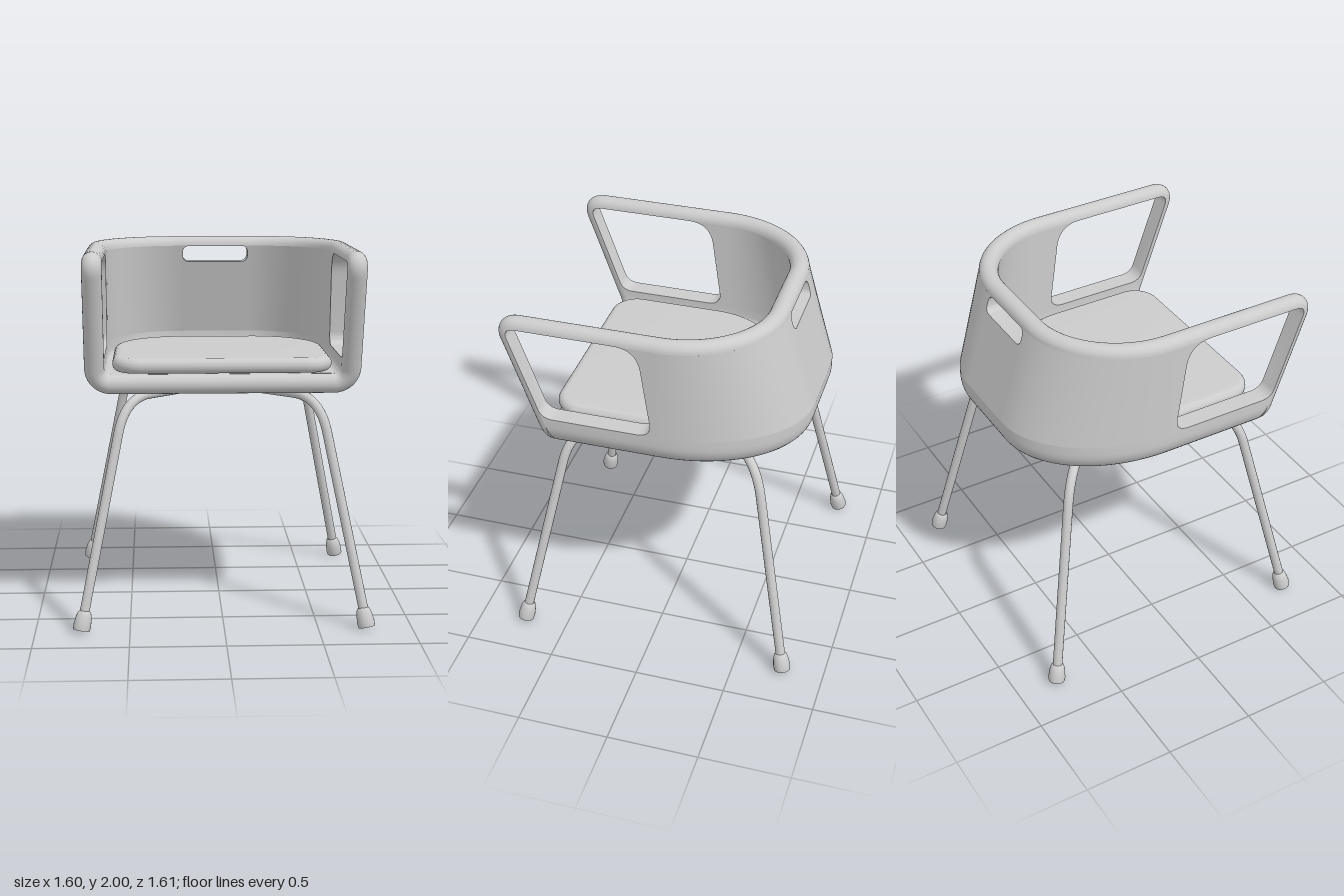
import * as THREE from 'three';
import { toCreasedNormals } from 'three/addons/utils/BufferGeometryUtils.js';

const V = (x, y, z) => new THREE.Vector3(x, y, z);
const W = 0.73, T = 0.105, FLAT = 0.2, START = -0.05; // half width, wall, flat half of back, start of the curve
const KNEE = 1.43, RIM = 1.95, MID = 1.2925, R = T / 2;
const backZ = y => -0.765 + 0.3 * Math.max(0, y - KNEE); // leaning back
const frontZ = y => 0.525 + 0.36 * (y - MID);            // raked front edge

// Point on the rounded back corner: a runs 0 (side) to PI/2 (back), d is the inset
const corner = (a, d, y) => V(FLAT + (W - FLAT - d) * Math.cos(a), y,
  START + (backZ(y) + d - START) * Math.sin(a));

// Skin between rings of points; every section is closed
function loft(rings, closedPath = false) {
  const n = rings[0].length, m = rings.length, idx = [];
  for (let i = 0; i < (closedPath ? m : m - 1); i++) {
    for (let j = 0; j < n; j++) {
      const k = (i + 1) % m, l = (j + 1) % n;
      const a = i * n + j, b = i * n + l, c = k * n + l, d = k * n + j;
      idx.push(a, d, b, b, d, c);
    }
  }
  const g = new THREE.BufferGeometry().setFromPoints(rings.flat());
  g.setIndex(idx);
  return toCreasedNormals(g, 0.6);
}

// Outline with a straight front and elliptical back corners, drawn in (x, -z)
function seatShape(w, back, front, start, flat, r) {
  const s = new THREE.Shape();
  s.moveTo(-w + r, -front);
  s.lineTo(w - r, -front);
  if (r) s.absarc(w - r, -front + r, r, -Math.PI / 2, 0);
  s.lineTo(w, -start);
  s.absellipse(flat, -start, w - flat, start - back, 0, Math.PI / 2);
  s.absellipse(-flat, -start, w - flat, start - back, Math.PI / 2, Math.PI);
  s.lineTo(-w, -front + r);
  if (r) s.absarc(-w + r, -front + r, r, Math.PI, Math.PI * 1.5);
  return s;
}

export function createModel() {
  const model = new THREE.Group();
  const material = new THREE.MeshStandardMaterial({ color: 0xcccccc, side: THREE.DoubleSide });
  const add = (name, geometry, parent = model) => {
    const mesh = new THREE.Mesh(geometry, material);
    mesh.name = name;
    parent.add(mesh);
    return mesh;
  };
  const steps = 24;

  // Lower shell: J-shaped section swept round the sides and back
  const section = [];
  for (let i = 0; i <= 10; i++) {
    const a = i / 10 * Math.PI / 2;
    section.push([0.14 - 0.14 * Math.sin(a), 1.38 - 0.14 * Math.cos(a)]);
  }
  section.push([0, KNEE], [T, KNEE]);
  for (let i = 0; i <= 5; i++) {
    const a = i / 5 * Math.PI / 2;
    section.push([0.14 - 0.035 * Math.cos(a), 1.38 - 0.035 * Math.sin(a)]);
  }
  const half = [section.map(([d, y]) => V(W - d, y, frontZ(y)))];
  for (let i = 0; i <= steps; i++) {
    half.push(section.map(([d, y]) => corner(i / steps * Math.PI / 2, d, y)));
  }
  const mirrored = half.map(ring => ring.map(p => V(-p.x, p.y, p.z))).reverse();
  add('lowerShell', loft([...half, ...mirrored]));

  // Floor of the shell
  const floor = new THREE.ExtrudeGeometry(
    seatShape(W - 0.14, backZ(1.3) + 0.14, 0.53, START, FLAT, 0),
    { depth: T, bevelEnabled: false, curveSegments: 24 });
  floor.rotateX(-Math.PI / 2).translate(0, 1.24, 0);
  add('seatFloor', toCreasedNormals(floor, 0.6));

  // Curved walls at the rear corners
  const wall = [[0, KNEE], [0, RIM], [T, RIM], [T, KNEE]];
  for (const side of [1, -1]) {
    const rings = [];
    for (let i = 0; i <= steps; i++) {
      rings.push(wall.map(([d, y]) => {
        const p = corner(i / steps * Math.PI / 2, d, y);
        p.x *= side;
        return p;
      }));
    }
    if (side < 0) rings.reverse();
    add(side > 0 ? 'leftCornerWall' : 'rightCornerWall', loft(rings));
  }

  // Flat side walls behind the arm openings, and the fillet at the foot of the arm post
  const rear = new THREE.Shape();
  rear.moveTo(START, KNEE);
  rear.lineTo(0.06, KNEE);
  rear.quadraticCurveTo(-0.022, KNEE, -0.016, 1.5);
  rear.lineTo(0.03, 1.83);
  rear.quadraticCurveTo(0.05, RIM, 0.17, RIM);
  rear.lineTo(START, RIM);
  const fz = frontZ(KNEE);
  const fillet = new THREE.Shape();
  fillet.moveTo(fz - 0.06, KNEE);
  fillet.lineTo(fz, KNEE);
  fillet.lineTo(frontZ(1.48), 1.48);
  fillet.quadraticCurveTo(fz, KNEE, fz - 0.06, KNEE);
  for (const side of [1, -1]) {
    const g = new THREE.ExtrudeGeometry([rear, fillet], { depth: T, bevelEnabled: false });
    g.rotateY(-Math.PI / 2).translate(side > 0 ? W : -W + T, 0, 0);
    add(side > 0 ? 'leftSideWall' : 'rightSideWall', toCreasedNormals(g, 0.6));
  }

  // Back panel with the hand slot, leaned by the same rule as the corners
  const panel = new THREE.Shape([[-FLAT, KNEE], [FLAT, KNEE], [FLAT, RIM], [-FLAT, RIM]]
    .map(p => new THREE.Vector2(...p)));
  const slot = new THREE.Path(), sr = 0.035, sx = 0.19, s0 = 1.855, s1 = 1.948;
  slot.absarc(sx - sr, s0 + sr, sr, -Math.PI / 2, 0);
  slot.absarc(sx - sr, s1 - sr, sr, 0, Math.PI / 2);
  slot.absarc(-sx + sr, s1 - sr, sr, Math.PI / 2, Math.PI);
  slot.absarc(-sx + sr, s0 + sr, sr, Math.PI, Math.PI * 1.5);
  panel.holes.push(slot);
  const back = new THREE.ExtrudeGeometry(panel, { depth: T, bevelEnabled: false });
  const pos = back.attributes.position;
  for (let i = 0; i < pos.count; i++) pos.setZ(i, pos.getZ(i) + backZ(pos.getY(i)));
  add('backPanel', toCreasedNormals(back, 0.6));

  // Rim: half-round edge running along the seat front, up the arm posts and round the top
  const line = []; // [point, outward wall normal]
  line.push([V(0, MID, frontZ(MID)), V(0, -1, 0)]);
  for (let i = 0; i <= 10; i++) {
    const a = -Math.PI / 2 + i / 10 * Math.PI / 2, y = 1.38 + 0.0875 * Math.sin(a);
    line.push([V(0.59 + 0.0875 * Math.cos(a), y, frontZ(y)), V(Math.cos(a), Math.sin(a), 0)]);
  }
  const bend = new THREE.QuadraticBezierCurve3(
    V(W - R, 1.88, frontZ(1.88)), V(W - R, RIM, frontZ(RIM) + 0.005), V(W - R, RIM, 0.69));
  for (const p of bend.getPoints(10)) line.push([p, V(1, 0, 0)]);
  for (let i = 0; i <= steps; i++) {
    const a = i / steps * Math.PI / 2;
    const rx = W - FLAT - R, rz = START - backZ(RIM) - R;
    line.push([corner(a, R, RIM), V(Math.cos(a) / rx, 0, -Math.sin(a) / rz).normalize()]);
  }
  const other = line.slice(1).reverse().map(([p, b]) => [V(-p.x, p.y, p.z), V(-b.x, b.y, b.z)]);
  const loop = [...line, ...other];
  const rimRings = loop.map(([p, b], i) => {
    const next = loop[(i + 1) % loop.length][0], prev = loop[(i + loop.length - 1) % loop.length][0];
    const dir = next.clone().sub(p).normalize().add(p.clone().sub(prev).normalize());
    const out = b.clone().cross(dir).normalize();
    return Array.from({ length: 13 }, (_, j) => p.clone()
      .addScaledVector(b, R * Math.cos(j / 12 * Math.PI))
      .addScaledVector(out, R * Math.sin(j / 12 * Math.PI)));
  });
  add('rimAndArms', loft(rimRings, true));

  // Seat cushion
  const bev = 0.038;
  const cushion = new THREE.ExtrudeGeometry(
    seatShape(0.585 - bev, -0.44 + bev, 0.58 - bev, -0.02, 0.2, 0.11),
    { depth: 0.004, bevelThickness: bev, bevelSize: bev, bevelSegments: 6, curveSegments: 20 });
  cushion.rotateX(-Math.PI / 2).translate(0, 1.35 + bev, 0);
  add('cushion', toCreasedNormals(cushion, 0.6));

  // Base: two bent tubes crossing under the seat, with a cap on each foot
  const base = new THREE.Group();
  base.name = 'base';
  base.position.z = -0.015;
  model.add(base);
  const footProfile = [[0, 0], [0.044, 0], [0.047, 0.025], [0.042, 0.07], [0.035, 0.095], [0.026, 0.105]]
    .map(p => new THREE.Vector2(...p));
  for (const k of [1, -1]) {
    const at = (x, y) => V(x, y, x * k);
    const path = new THREE.CurvePath();
    path.add(new THREE.LineCurve3(at(-0.755, 0.03), at(-0.555, 1.03)));
    path.add(new THREE.QuadraticBezierCurve3(at(-0.555, 1.03), at(-0.518, 1.215), at(-0.39, 1.215)));
    path.add(new THREE.LineCurve3(at(-0.39, 1.215), at(0.39, 1.215)));
    path.add(new THREE.QuadraticBezierCurve3(at(0.39, 1.215), at(0.518, 1.215), at(0.555, 1.03)));
    path.add(new THREE.LineCurve3(at(0.555, 1.03), at(0.755, 0.03)));
    add('legTube', new THREE.TubeGeometry(path, 120, 0.026, 14), base);
    for (const s of [1, -1]) {
      const foot = add('footCap', toCreasedNormals(new THREE.LatheGeometry(footProfile, 20), 0.7), base);
      foot.position.copy(at(s * 0.757, 0.013));
      foot.quaternion.setFromUnitVectors(V(0, 1, 0), V(-0.2 * s, 1, -0.2 * s * k).normalize());
    }
  }
  return model;
}
